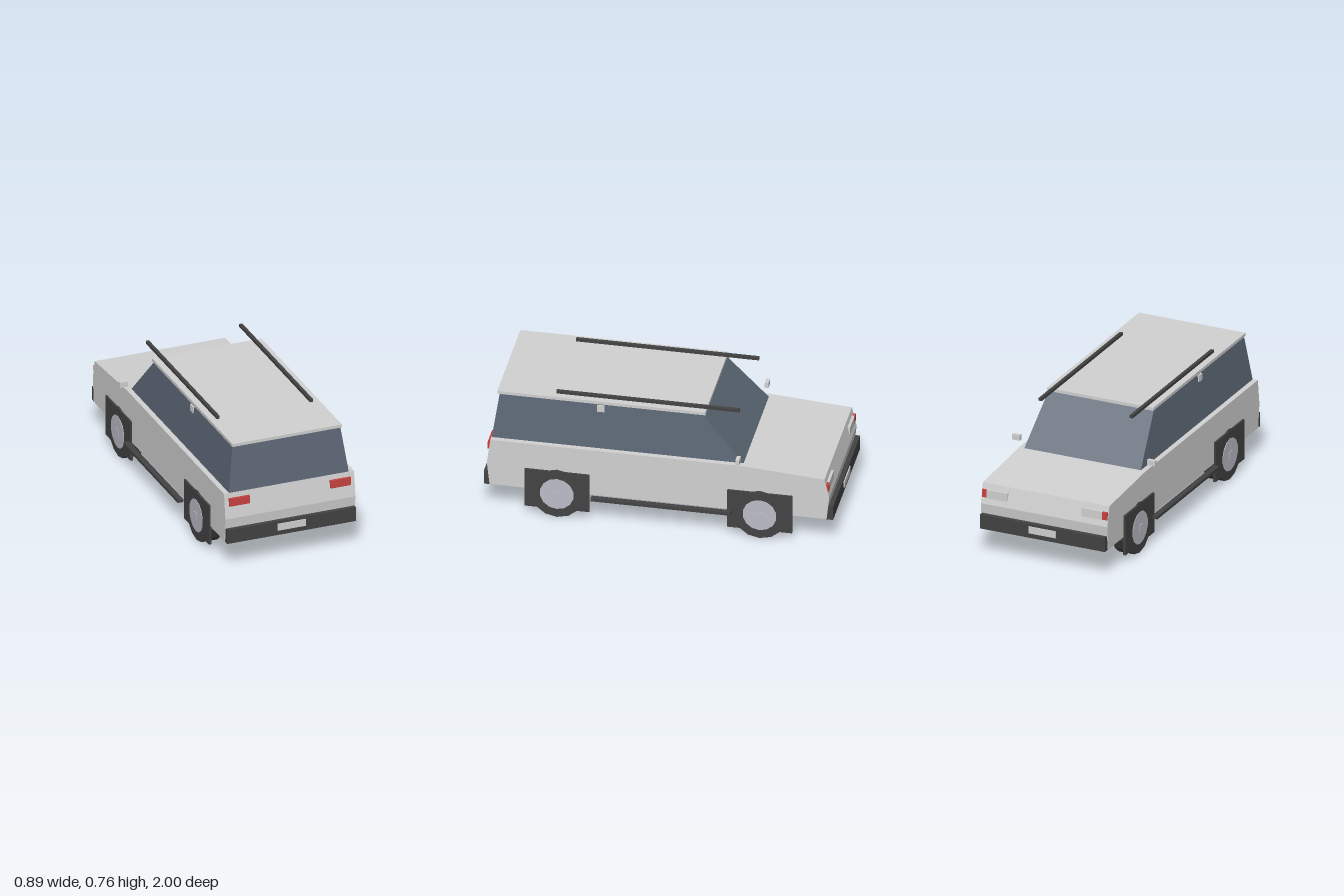
import * as THREE from 'three';

const mat = (name, color) => {
  const m = new THREE.MeshStandardMaterial({ color });
  m.name = name;
  return m;
};

export function createModel() {
  const car = new THREE.Group();
  car.name = 'estateCar';
  const paint = mat('lightGreyPaint', 0xd2d2d2);
  const glass = mat('blueGreyGlass', 0x5b6674);
  const dark = mat('darkTrim', 0x434343);
  const red = mat('redLamp', 0xc9423f);
  const alloy = mat('wheelSilver', 0xbdbdc8);

  const add = (name, geometry, material, parent = car) => {
    const mesh = new THREE.Mesh(geometry, material);
    mesh.name = name;
    parent.add(mesh);
    return mesh;
  };
  // Box given by its minimum and maximum on each axis
  const box = (name, material, [x0, x1], [y0, y1], [z0, z1], parent = car) => {
    const mesh = add(name, new THREE.BoxGeometry(x1 - x0, y1 - y0, z1 - z0), material, parent);
    mesh.position.set((x0 + x1) / 2, (y0 + y1) / 2, (z0 + z1) / 2);
    return mesh;
  };
  // Side profile of [z, y] points, extruded across the width
  const profile = (points, halfWidth) => {
    const shape = new THREE.Shape(points.map(([z, y]) => new THREE.Vector2(-z, y)));
    const g = new THREE.ExtrudeGeometry(shape, { depth: 2 * halfWidth, bevelEnabled: false });
    return g.translate(0, 0, -halfWidth).rotateY(Math.PI / 2);
  };

  // Lower body with bonnet
  add('body', profile([
    [0.96, 0.16], [0.975, 0.3], [0.955, 0.45], [-0.48, 0.45],
    [-0.945, 0.417], [-0.972, 0.3], [-0.957, 0.16],
  ], 0.392), paint);

  // Glasshouse, leaning inwards towards the roof
  const cabin = profile([[0.953, 0.449], [0.915, 0.72], [-0.235, 0.72], [-0.48, 0.449]], 0.361);
  const p = cabin.attributes.position;
  for (let i = 0; i < p.count; i++) if (p.getY(i) > 0.6) p.setX(i, Math.sign(p.getX(i)) * 0.325);
  cabin.computeVertexNormals();
  add('windows', cabin, glass);
  box('roof', paint, [-0.33, 0.33], [0.718, 0.736], [-0.255, 0.928]);

  // Bumpers and number plates at both ends
  box('tailBumper', dark, [-0.387, 0.387], [0.156, 0.241], [0.95, 0.993]);
  box('noseBumper', dark, [-0.387, 0.387], [0.156, 0.241], [-0.993, -0.95]);
  box('tailPlate', paint, [-0.085, 0.085], [0.185, 0.226], [0.991, 0.999]);
  box('nosePlate', paint, [-0.085, 0.085], [0.185, 0.226], [-0.999, -0.991]);

  // Everything that is mirrored left and right
  for (const s of [1, -1]) {
    const side = new THREE.Group();
    side.name = s > 0 ? 'leftSide' : 'rightSide';
    car.add(side);
    const span = (a, b) => (s > 0 ? [a, b] : [-b, -a]);

    box('roofRail', dark, span(0.272, 0.291), [0.736, 0.753], [-0.44, 0.6], side);
    box('mirror', paint, span(0.395, 0.443), [0.484, 0.516], [-0.47, -0.448], side);
    box('windowTab', paint, span(0.316, 0.336), [0.672, 0.712], [0.318, 0.36], side);
    box('runningBoard', dark, span(0.4, 0.434), [0.142, 0.159], [-0.42, 0.378], side);
    box('tailLamp', red, span(0.243, 0.366), [0.375, 0.421], [0.945, 0.975], side);
    box('headlamp', paint, span(0.23, 0.358), [0.335, 0.385], [-0.967, -0.94], side);
    box('markerLamp', red, span(0.358, 0.388), [0.338, 0.382], [-0.968, -0.94], side);

    for (const z of [0.575, -0.578]) {
      box('archPanel', dark, span(0.388, 0.403), [0.05, 0.29], [z - 0.184, z + 0.184], side);

      // Fourteen-sided wheel resting on a flat
      const wheel = new THREE.Group();
      wheel.name = z > 0 ? 'tailWheel' : 'noseWheel';
      wheel.position.set(s * 0.353, 0.148, z);
      side.add(wheel);
      const disc = (r, w) => new THREE.CylinderGeometry(r, r, w, 14)
        .toNonIndexed().rotateY(Math.PI / 14).rotateZ(Math.PI / 2);
      const round = (name, r, w, m) => {
        const g = disc(r, w);
        // Put a flat at the bottom whichever way the ring starts
        g.rotateX(Math.PI / 2 - Math.PI / 2);
        g.computeVertexNormals();
        add(name, g, m, wheel);
      };
      round('tyre', 0.1518, 0.096, dark);
      round('hub', 0.097, 0.106, alloy);
      box('hubCap', alloy, [-0.057, 0.057], [-0.02, 0.02], [-0.02, 0.02], wheel);
    }
  }
  return car;
}
